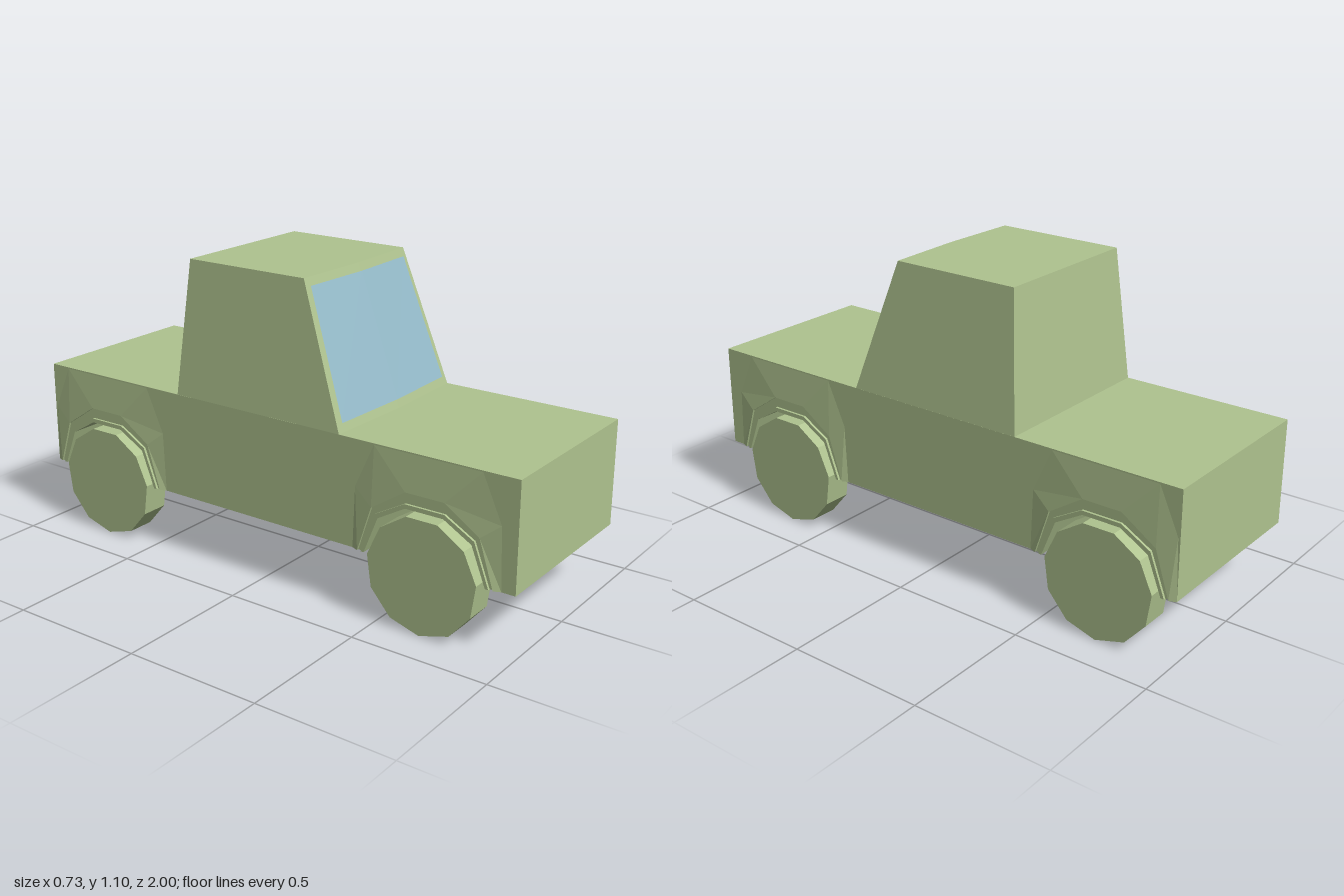
import * as THREE from 'three';

const paint = new THREE.MeshStandardMaterial({ color: 0xafc38f, flatShading: true, side: THREE.DoubleSide });
const glass = new THREE.MeshStandardMaterial({ color: 0x96bccb, flatShading: true, side: THREE.DoubleSide });

// Skin a list of cross-sections, each a list of [x, y, z] points
function loft(rings, closed = false, capped = false) {
  const out = [];
  const n = rings[0].length;
  for (let r = 0; r < rings.length - 1; r++) {
    for (let i = 0; i < (closed ? n : n - 1); i++) {
      const j = (i + 1) % n;
      const [a, b, c, d] = [rings[r][i], rings[r][j], rings[r + 1][j], rings[r + 1][i]];
      out.push(...a, ...b, ...c, ...a, ...c, ...d);
    }
  }
  if (capped) {
    const top = rings[rings.length - 1];
    for (let i = 1; i < n - 1; i++) out.push(...top[0], ...top[i], ...top[i + 1]);
  }
  const g = new THREE.BufferGeometry();
  g.setAttribute('position', new THREE.Float32BufferAttribute(out, 3));
  g.computeVertexNormals();
  return g;
}

// Half-decagon arch outline in (z, y): half-widths at foot, shoulder and crown
function arch(cz, foot, shoulder, shoulderY, crown, crownY) {
  return [
    [cz + foot, 0.23], [cz + shoulder, shoulderY], [cz + crown, crownY],
    [cz - crown, crownY], [cz - shoulder, shoulderY], [cz - foot, 0.23],
  ];
}
const opening = (cz) => arch(cz, 0.228, 0.175, 0.365, 0.071, 0.425);

export function createModel() {
  const model = new THREE.Group();
  const add = (name, geometry, material = paint) => {
    const mesh = new THREE.Mesh(geometry, material);
    mesh.name = name;
    model.add(mesh);
    return mesh;
  };
  const axles = [['front', 0.67], ['rear', -0.72]];

  // Lower body: side profile with wheel tunnels, extruded across the width
  const profile = [[-1, 0.23], [-1, 0.615], [1, 0.615], [1, 0.23]];
  for (const [, cz] of axles) profile.push(...opening(cz));
  const body = new THREE.ExtrudeGeometry(
    new THREE.Shape(profile.map(([z, y]) => new THREE.Vector2(z, y))),
    { depth: 0.68, bevelEnabled: false });
  body.translate(0, 0, -0.34).rotateY(-Math.PI / 2);
  add('body', body);

  // Tapered cab with a slightly bowed front
  const cabRing = (w, y, front, bow, back) => [
    [-w, y, front], [0, y, front + bow], [w, y, front], [w, y, back], [-w, y, back],
  ];
  add('cab', loft([
    cabRing(0.34, 0.612, 0.333, 0.011, -0.37),
    cabRing(0.295, 1.102, 0.158, 0.01, -0.33),
  ], true, true));

  // Windscreen just proud of the cab front
  const paneRow = (w, y) => {
    const z = 0.333 - (y - 0.612) * 0.357 + 0.004;
    return [[-w, y, z + 0.001], [0, y, z + 0.011], [w, y, z + 0.001]];
  };
  add('windscreen', loft([paneRow(0.312, 0.645), paneRow(0.276, 1.075)]), glass);

  for (const [end, cz] of axles) {
    for (const [side, s] of [['Left', 1], ['Right', -1]]) {
      // Fender: side flare, recessed step and raised lip round the opening
      const flare = arch(cz, 0.28, 0.272, 0.45, 0.2, 0.61);
      const step = arch(cz, 0.255, 0.202, 0.395, 0.073, 0.48);
      const lip = arch(cz, 0.24, 0.184, 0.378, 0.074, 0.44);
      const hole = opening(cz);
      const sections = [
        [flare, 0.34], [step, 0.35], [step, 0.342], [lip, 0.342],
        [lip, 0.351], [hole, 0.351], [hole, 0.335],
      ];
      add(end + side + 'Fender', loft(
        sections.map(([pts, x]) => pts.map(([z, y]) => [s * x, y, z]))));

      // Eleven-sided wheel with one corner on the ground
      const wheel = new THREE.CylinderGeometry(0.207, 0.207, 0.105, 11);
      wheel.rotateZ(Math.PI / 2);
      const pos = wheel.getAttribute('position');
      let corner = 0;
      for (let i = 0; i < 12; i++) if (pos.getY(i) < pos.getY(corner)) corner = i;
      wheel.rotateX(Math.PI / 2 - Math.atan2(pos.getZ(corner), pos.getY(corner)) + Math.PI / 2);
      add(end + side + 'Wheel', wheel).position.set(s * 0.3125, 0.207, cz);
    }
  }
  return model;
}
